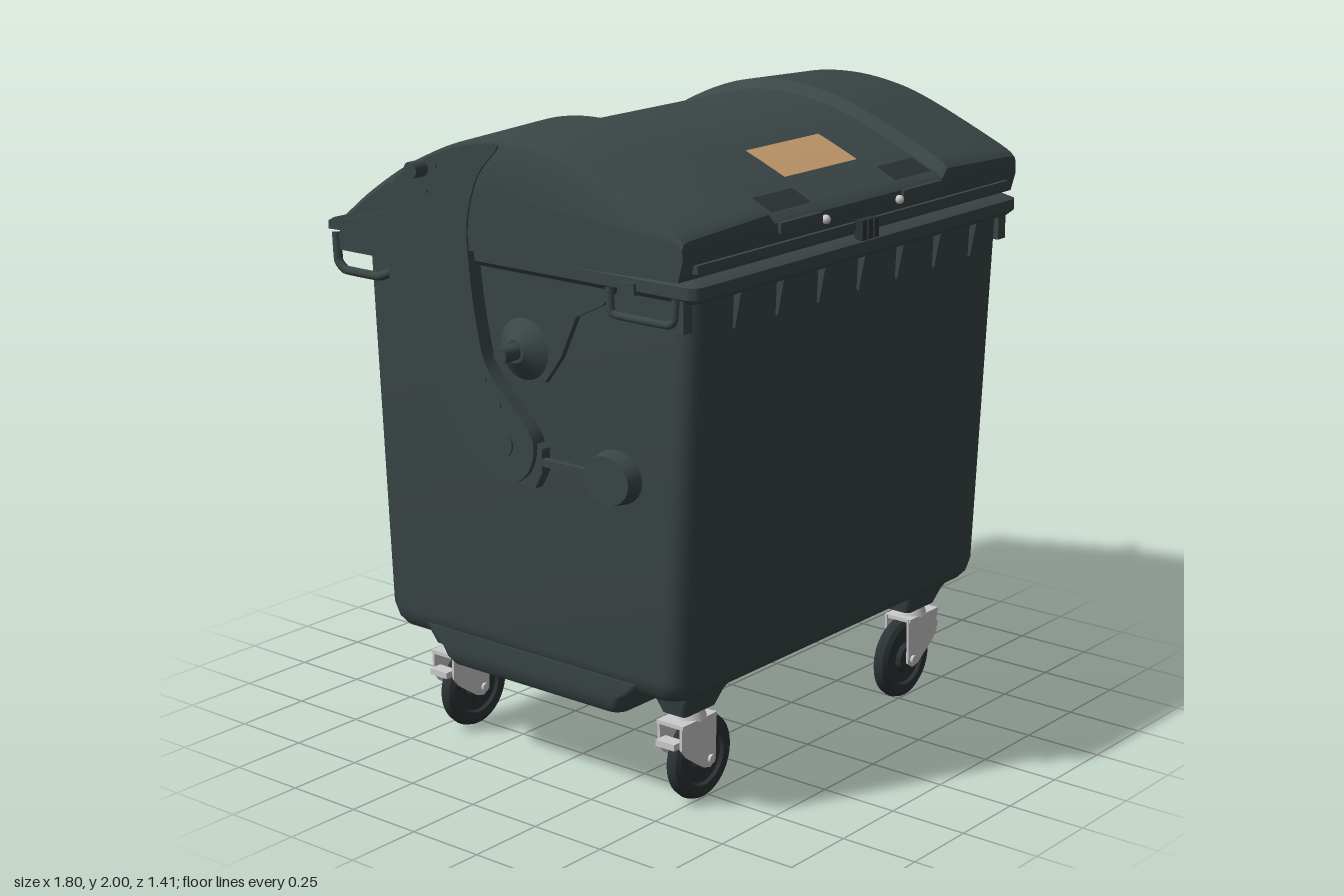
import * as THREE from 'three';
import { toCreasedNormals } from 'three/addons/utils/BufferGeometryUtils.js';

const mat = (color) => new THREE.MeshStandardMaterial({ color });
const shell = mat(0x3b4647), dark = mat(0x2c3335), steel = mat(0xcccccc), tan = mat(0xc49a6c);
const V = (x, y, z) => new THREE.Vector3(x, y, z);

function add(parent, name, geo, material, x = 0, y = 0, z = 0) {
  const m = new THREE.Mesh(geo, material);
  m.name = name;
  m.position.set(x, y, z);
  parent.add(m);
  return m;
}
const box = (p, name, m, w, h, d, x, y, z) => add(p, name, new THREE.BoxGeometry(w, h, d), m, x, y, z);

// Closed skin over rings that run counter-clockwise about the loft direction
function loft(rings, crease = 0.6) {
  const n = rings[0].length, pos = [], idx = [];
  rings.forEach((r) => r.forEach((v) => pos.push(v.x, v.y, v.z)));
  for (let k = 0; k < rings.length - 1; k++)
    for (let i = 0; i < n; i++) {
      const a = k * n + i, b = k * n + (i + 1) % n;
      idx.push(a, b, b + n, a, b + n, a + n);
    }
  [0, rings.length - 1].forEach((k) => {
    const c = V(0, 0, 0);
    rings[k].forEach((v) => c.addScaledVector(v, 1 / n));
    const ci = pos.length / 3;
    pos.push(c.x, c.y, c.z);
    for (let i = 0; i < n; i++) {
      const a = k * n + i, b = k * n + (i + 1) % n;
      if (k) idx.push(ci, a, b); else idx.push(ci, b, a);
    }
  });
  const g = new THREE.BufferGeometry();
  g.setAttribute('position', new THREE.Float32BufferAttribute(pos, 3));
  g.setIndex(idx);
  return toCreasedNormals(g, crease);
}

// Horizontal rounded rectangle
function rectRing([y, hx, zBack, zFront, r]) {
  const pts = [];
  for (let k = 0; k < 4; k++)
    for (let i = 0; i <= 6; i++) {
      const t = (k + i / 6) * Math.PI / 2;
      const cx = k < 2 ? hx - r : r - hx, cz = k % 3 === 0 ? zFront - r : zBack + r;
      pts.push(V(cx + r * Math.sin(t), y, cz + r * Math.cos(t)));
    }
  return pts;
}

// Plate with a (z, y) outline, lying from x to x + depth on side s
function sidePlate(pts, s, x, depth, smooth) {
  let p = pts.map(([z, y]) => new THREE.Vector2(z, y));
  if (smooth) p = new THREE.CatmullRomCurve3(p.map((v) => V(v.x, v.y, 0)), true).getPoints(70).slice(0, -1)
    .map((v) => new THREE.Vector2(v.x, v.y));
  const g = new THREE.ExtrudeGeometry(new THREE.Shape(p), { depth, bevelEnabled: false });
  g.rotateY(-Math.PI / 2).translate(s > 0 ? x + depth : -x, 0, 0);
  return toCreasedNormals(g, 0.5);
}

// Round part along x on side s, from x0 (radius r0) to x1 (radius r1)
function axle(p, name, s, x0, x1, r0, r1, y, z, m = shell) {
  const g = new THREE.CylinderGeometry(r1, r0, x1 - x0, 24).rotateZ(-s * Math.PI / 2);
  return add(p, name, g, m, s * (x0 + x1) / 2, y, z);
}
const tube = (pts, r) => new THREE.TubeGeometry(new THREE.CatmullRomCurve3(pts, false, 'catmullrom', 0.15), 32, r, 8);

// Lid arc from back to front, in (z, y)
const lidArc = new THREE.SplineCurve([[-0.705, 1.655], [-0.656, 1.685], [-0.52, 1.79], [-0.34, 1.9], [-0.153, 1.974],
  [0.016, 1.998], [0.19, 1.982], [0.35, 1.937], [0.614, 1.825], [0.67, 1.79]].map((p) => new THREE.Vector2(...p))).getPoints(54);
function lidY(z) {
  const i = Math.max(1, lidArc.findIndex((p) => p.x >= z)), a = lidArc[i - 1], b = lidArc[i];
  return a.y + (b.y - a.y) * (z - a.x) / (b.x - a.x);
}

function makeLid(g) {
  const half = [[0.835, 0.035], [0.828, 0.02], [0.8, 0.015], [0.45, 0], [0.42, 0.03]];
  const stations = [...half.map(([x, d]) => [-x, d]), ...half.slice().reverse()];
  add(g, 'lid', loft(stations.map(([x, drop]) => [
    ...lidArc.map((p) => V(x, p.y - drop * THREE.MathUtils.clamp((p.x + 0.68) / 0.04, 0, 1), p.x)),
    V(x, 1.72, 0.672), V(x, 1.66, 0.655), V(x, 1.63, -0.705),
  ]), 0.5), shell);
  // Patches that follow the lowered middle of the lid
  const patch = (name, x, z, w, d, m) => {
    const p = new THREE.PlaneGeometry(w, d, 1, 8).rotateX(-Math.PI / 2).translate(x, 0, z);
    const a = p.attributes.position;
    for (let i = 0; i < a.count; i++) a.setY(i, lidY(a.getZ(i)) - 0.026);
    p.computeVertexNormals();
    add(g, name, p, m);
  };
  for (const s of [-1, 1]) {
    patch('label', s * 0.09, 0.45, 0.18, 0.145, tan);
    patch('gripRecess', s * 0.305, 0.607, 0.19, 0.07, dark);
    box(g, 'gripEdge', shell, 0.2, 0.03, 0.02, s * 0.305, 1.745, 0.67);
    add(g, 'lidBolt', new THREE.SphereGeometry(0.014, 12, 8), steel, s * 0.185, 1.735, 0.677);
  }
  box(g, 'frontLip', shell, 1.56, 0.025, 0.03, 0, 1.69, 0.665);
  box(g, 'backLip', shell, 0.48, 0.02, 0.02, 0, 1.645, -0.7);
}

function makeBody(g) {
  add(g, 'tub', loft([
    [0.38, 0.72, -0.52, 0.56, 0.05], [0.388, 0.75, -0.548, 0.59, 0.07], [0.41, 0.767, -0.565, 0.61, 0.08],
    [0.45, 0.775, -0.577, 0.62, 0.08], [1.62, 0.775, -0.622, 0.665, 0.06],
  ].map(rectRing), 0.7), shell);
  add(g, 'sunkenFloor', loft([
    [0.3, 0.735, -0.3, 0.35, 0.04], [0.306, 0.758, -0.318, 0.37, 0.04], [0.33, 0.772, -0.335, 0.388, 0.04],
    [0.36, 0.775, -0.35, 0.4, 0.04], [0.382, 0.775, -0.385, 0.435, 0.04], [0.42, 0.774, -0.42, 0.47, 0.04],
  ].map(rectRing), 0.7), shell);
  add(g, 'rim', loft([
    [1.595, 0.8, -0.69, 0.685, 0.04], [1.61, 0.815, -0.7, 0.7, 0.04], [1.645, 0.815, -0.7, 0.7, 0.04],
    [1.66, 0.79, -0.69, 0.67, 0.04],
  ].map(rectRing)), shell);
  // Stiffening ribs below the rim
  for (let i = -3; i <= 3; i++)
    add(g, 'frontRib', sidePlate([[0.655, 1.49], [0.668, 1.49], [0.69, 1.6], [0.65, 1.6]], 1, i * 0.198 - 0.004, 0.008), shell);
  for (const x of [-0.55, -0.2, 0.2, 0.55]) box(g, 'backRib', shell, 0.04, 0.08, 0.07, x, 1.56, -0.645);
  for (const x of [-0.03, 0, 0.03]) box(g, 'latch', dark, 0.022, 0.06, 0.03, x, 1.68, 0.69);
}

function makeSide(g, s) {
  // Swing arm carrying the lid
  add(g, 'lidArm', sidePlate([[0, 1.965], [-0.08, 1.87], [-0.125, 1.73], [-0.12, 1.6], [-0.095, 1.43], [-0.06, 1.31],
    [0.03, 1.21], [0.12, 1.11], [0.095, 1.01], [0.005, 0.963], [-0.1, 1.01], [-0.286, 1.23], [-0.43, 1.43],
    [-0.444, 1.656], [-0.434, 1.79], [-0.355, 1.86], [-0.2, 1.93], [-0.1, 1.957]], s, 0.792, 0.049, true), shell);
  axle(g, 'armPivot', s, 0.76, 0.847, 0.037, 0.037, 1.085, 0.005);
  axle(g, 'upperPin', s, 0.82, 0.89, 0.025, 0.025, 1.865, -0.3);
  for (const [z, y] of [[-0.245, 1.88], [-0.285, 1.8], [-0.065, 1.27], [-0.01, 1.2]])
    axle(g, 'armBolt', s, 0.83, 0.846, 0.008, 0.008, y, z);
  // Lifting trunnion on its mounting plate
  add(g, 'trunnionPlate', sidePlate([[0.4, 1.6], [0.35, 1.545], [0.25, 1.495], [0.19, 1.365], [0.127, 1.28], [0.03, 1.26],
    [-0.05, 1.33], [-0.07, 1.45], [-0.04, 1.6]], s, 0.765, 0.03), shell);
  axle(g, 'trunnionCone', s, 0.79, 0.838, 0.1, 0.035, 1.37, 0.05);
  axle(g, 'trunnionPin', s, 0.8, 0.9, 0.025, 0.025, 1.37, 0.05);
  // Counterweight paddle
  const paddle = axle(g, 'paddle', s, 0.792, 0.842, 0.095, 0.085, 1.048, 0.395);
  paddle.scale.y = 0.85;
  box(g, 'paddleRod', shell, 0.02, 0.022, 0.24, s * 0.815, 1.05, 0.23);
  add(g, 'paddleBracket', sidePlate([[0.14, 1.09], [0.08, 1.13], [0.04, 0.97], [0.11, 0.965], [0.14, 1.02]], s, 0.79, 0.035), shell);
  // Hand rails under the rim
  const x = s * 0.812;
  add(g, 'backHandle', tube([V(x, 1.61, -0.45), V(x, 1.53, -0.46), V(x, 1.505, -0.52), V(x, 1.505, -0.66),
    V(x, 1.53, -0.69), V(x, 1.62, -0.695)], 0.014), shell);
  box(g, 'backHandleStop', shell, 0.03, 0.05, 0.23, s * 0.8, 1.59, -0.57);
  add(g, 'frontHandle', tube([V(x, 1.61, 0.39), V(x, 1.54, 0.395), V(x, 1.53, 0.42), V(x, 1.53, 0.6), V(x, 1.545, 0.625),
    V(x, 1.61, 0.63)], 0.012), shell);
  box(g, 'frontCornerBracket', shell, 0.04, 0.1, 0.03, s * 0.79, 1.56, 0.64);
  box(g, 'rimClip', shell, 0.02, 0.035, 0.06, s * 0.815, 1.615, 0.46);
}

function makeCaster(s, z) {
  const g = new THREE.Group();
  g.name = 'caster';
  g.position.z = z;
  const cx = s * 0.575;
  add(g, 'casterSocket', loft([[0.3, 0.075, -0.045, 0.045, 0.015], [0.35, 0.09, -0.065, 0.065, 0.015],
    [0.4, 0.1, -0.1, 0.1, 0.015]].map(rectRing)), shell, cx, 0, 0);
  add(g, 'swivel', new THREE.CylinderGeometry(0.045, 0.055, 0.03, 20), steel, cx, 0.288, 0);
  box(g, 'forkCrown', steel, 0.16, 0.012, 0.1, s * 0.585, 0.272, 0);
  // Fork cheeks
  const cheek = new THREE.Shape([[0.5, 0.278], [0.665, 0.278], [0.665, 0.2], [0.64, 0.17], [0.56, 0.115], [0.53, 0.108],
    [0.505, 0.125]].map(([x, y]) => new THREE.Vector2(s * x, y)));
  for (const k of [-1, 1])
    add(g, 'forkCheek', new THREE.ExtrudeGeometry(cheek, { depth: 0.008, bevelEnabled: false }), steel, 0, 0, k * 0.042 - 0.004);
  box(g, 'brakePedal', steel, 0.045, 0.02, 0.07, s * 0.665, 0.215, 0);
  add(g, 'axleBolt', new THREE.CylinderGeometry(0.014, 0.014, 0.11, 12).rotateX(Math.PI / 2), steel, s * 0.529, 0.135, 0);
  // Tyre and hub
  const prof = [[0.01, -0.03], [0.045, -0.03], [0.05, -0.014], [0.085, -0.014], [0.09, -0.025], [0.115, -0.027], [0.13, -0.017], [0.135, 0]];
  const pts = [...prof, ...prof.slice(0, -1).reverse().map(([r, y]) => [r, -y])].map((p) => new THREE.Vector2(...p));
  add(g, 'wheel', toCreasedNormals(new THREE.LatheGeometry(pts, 40).rotateX(Math.PI / 2), 0.6), dark, s * 0.529, 0.135, 0);
  return g;
}

export function createModel() {
  const g = new THREE.Group();
  g.name = 'wasteContainer';
  makeBody(g);
  makeLid(g);
  for (const s of [-1, 1]) {
    makeSide(g, s);
    for (const z of [0.485, -0.435]) g.add(makeCaster(s, z));
  }
  return g;
}
